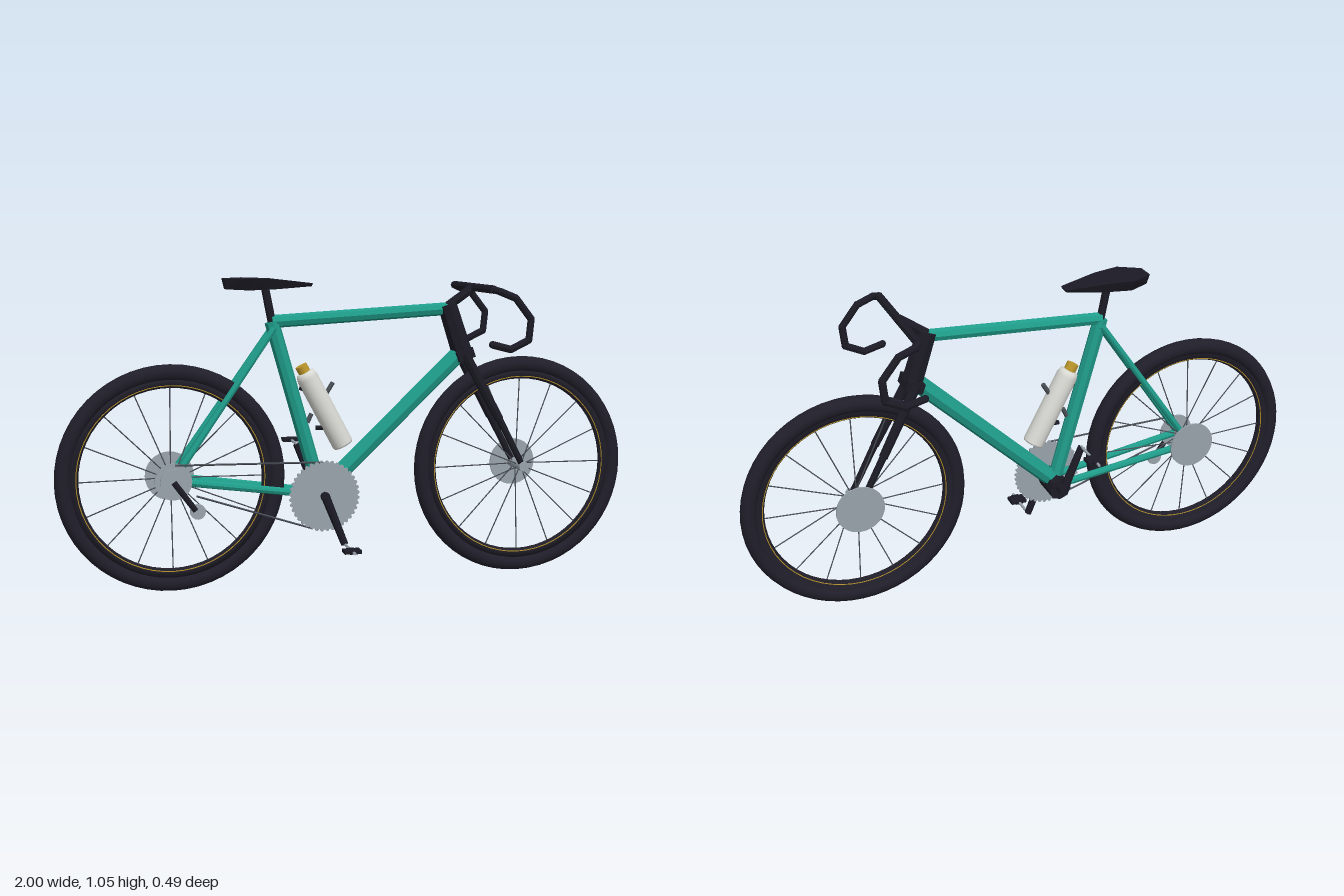
import * as THREE from 'three';
import { ConvexGeometry } from 'three/addons/geometries/ConvexGeometry.js';

const V = (x, y, z = 0) => new THREE.Vector3(x, y, z);
const UP = V(0, 1, 0);

export function createModel() {
  const mat = (name, color, flatShading = false) => {
    const m = new THREE.MeshStandardMaterial({ color, flatShading });
    m.name = name;
    return m;
  };
  const teal = mat('teal paint', 0x1f9c8a, true);
  const black = mat('black parts', 0x1c1b25, true);
  const rubber = mat('black rubber', 0x201e29);
  const steel = mat('light steel', 0x98a3ab, true);
  const dark = mat('dark steel', 0x4b5057, true);
  const white = mat('bottle white', 0xdadbd5);
  const gold = mat('gold trim', 0xc09a2c);

  const bike = new THREE.Group();
  bike.name = 'bicycle';
  const group = (name, parent = bike) => {
    const g = new THREE.Group();
    g.name = name;
    parent.add(g);
    return g;
  };
  const add = (parent, name, geometry, material, x = 0, y = 0, z = 0) => {
    const m = new THREE.Mesh(geometry, material);
    m.name = name;
    m.position.set(x, y, z);
    parent.add(m);
    return m;
  };
  // Straight tube from a to b, optionally tapered
  const rod = (parent, name, a, b, ra, material, rb = ra, sides = 8) => {
    const d = b.clone().sub(a);
    const m = add(parent, name, new THREE.CylinderGeometry(rb, ra, d.length(), sides), material);
    m.position.copy(a).add(b).multiplyScalar(0.5);
    m.quaternion.setFromUnitVectors(UP, d.normalize());
    return m;
  };
  // Chain of tubes with rounded joints
  const path = (parent, name, pts, r, material) => pts.slice(1).forEach((p, i) => {
    rod(parent, name, pts[i], p, r, material);
    add(parent, name + 'Joint', new THREE.SphereGeometry(r, 8, 6), material, p.x, p.y, p.z);
  });
  const disc = (parent, name, x, y, z, r, w, material, sides = 32) =>
    rod(parent, name, V(x, y, z - w / 2), V(x, y, z + w / 2), r, material, r, sides);

  const REAR = V(-0.615, 0.385), FRONT = V(0.615, 0.385), BB = V(-0.105, 0.315);
  const SEAT = V(-0.27, 0.905), HEAD_TOP = V(0.345, 0.955), HEAD_LOW = V(0.4, 0.79);

  // Wheels
  for (const [name, c] of [['rearWheel', REAR], ['frontWheel', FRONT]]) {
    const w = group(name);
    w.position.copy(c);
    add(w, 'tire', new THREE.TorusGeometry(0.357, 0.028, 10, 56), rubber);
    const rim = [[0.335, -0.018], [0.335, 0.018], [0.312, 0.013], [0.306, 0], [0.312, -0.013], [0.335, -0.018]];
    const rimMesh = add(w, 'rim', new THREE.LatheGeometry(rim.map(p => new THREE.Vector2(...p)), 56), rubber);
    rimMesh.material.side = THREE.DoubleSide;
    rimMesh.rotation.x = Math.PI / 2;
    for (const s of [1, -1])
      add(w, 'rimStripe', new THREE.TorusGeometry(0.315, 0.0018, 4, 56), gold, 0, 0, s * 0.0135);
    for (let i = 0; i < 16; i++) {
      const a = i * Math.PI / 8, z = i % 2 ? 0.025 : -0.025;
      rod(w, 'spoke', V(0.015 * Math.cos(a), 0.015 * Math.sin(a), z),
        V(0.31 * Math.cos(a), 0.31 * Math.sin(a)), 0.0022, dark, 0.0022, 5);
    }
    disc(w, 'hub', 0, 0, 0, 0.018, 0.125, steel, 12);
    disc(w, 'brakeRotor', 0, 0, -0.062, 0.083, 0.006, steel);
  }

  // Frame
  const frame = group('frame');
  rod(frame, 'seatTube', BB, SEAT, 0.025, teal);
  rod(frame, 'topTube', SEAT, V(0.345, 0.94), 0.022, teal);
  rod(frame, 'downTube', BB, V(0.39, 0.785), 0.03, teal);
  rod(frame, 'headTube', HEAD_LOW, HEAD_TOP, 0.037, black, 0.034);
  disc(frame, 'bottomBracket', BB.x, BB.y - 0.01, 0, 0.04, 0.11, black, 8);
  for (const s of [1, -1]) {
    rod(frame, 'seatStay', V(-0.265, 0.885, s * 0.02), V(REAR.x, REAR.y, s * 0.048), 0.011, teal);
    rod(frame, 'chainStay', V(-0.12, 0.315, s * 0.035), V(REAR.x, REAR.y, s * 0.048), 0.013, teal);
  }

  // Fork
  const fork = group('fork');
  const crown = add(fork, 'crown', new THREE.BoxGeometry(0.06, 0.035, 0.09), black, 0.403, 0.782, 0);
  crown.rotation.z = 0.35;
  for (const s of [1, -1]) {
    rod(fork, 'upperBlade', V(0.4, 0.785, s * 0.035), V(0.525, 0.555, s * 0.049), 0.018, black, 0.015);
    rod(fork, 'lowerBlade', V(0.52, 0.565, s * 0.049), V(FRONT.x, FRONT.y, s * 0.049), 0.013, black, 0.011);
  }

  // Handlebar with mirrored drops
  const bar = group('handlebar');
  rod(bar, 'stem', V(0.335, 0.94), V(0.44, 1.013), 0.016, black);
  rod(bar, 'crossBar', V(0.44, 1.013, -0.21), V(0.44, 1.013, 0.21), 0.014, black);
  const drop = [[0.44, 1.013, 0.21], [0.455, 1.007, 0.23], [0.51, 0.985, 0.23], [0.565, 0.915, 0.23],
    [0.558, 0.845, 0.23], [0.495, 0.815, 0.23], [0.43, 0.832, 0.23]];
  for (const s of [1, -1])
    path(bar, 'drop', drop.map(([x, y, z]) => V(x, y, s * z)), 0.0125, black);

  // Seat
  const seat = group('seat');
  rod(seat, 'seatPost', SEAT, V(-0.292, 1.02), 0.014, black);
  const pts = [];
  for (const s of [1, -1])
    for (const [x, yTop, yLow, w] of [[-0.433, 1.05, 1.015, 0.032], [-0.36, 1.051, 1.012, 0.074],
      [-0.27, 1.048, 1.014, 0.058], [-0.132, 1.032, 1.022, 0.022]])
      pts.push(V(x, yTop, s * w), V(x * 0.96 - 0.01, yLow, s * w * 0.75));
  add(seat, 'saddle', new ConvexGeometry(pts), black);

  // Chainring, chain and sprockets
  const drive = group('drivetrain');
  const gear = new THREE.Shape();
  for (let i = 0, n = 40; i < n; i++)
    [[0, 0.114], [0.35, 0.122], [0.65, 0.122], [0.99, 0.114]].forEach(([t, r], k) => {
      const a = (i + t) / n * Math.PI * 2;
      gear[i + k ? 'lineTo' : 'moveTo'](r * Math.cos(a), r * Math.sin(a));
    });
  add(drive, 'chainring', new THREE.ExtrudeGeometry(gear, { depth: 0.008, bevelEnabled: false }), steel, BB.x, BB.y, 0.062);
  disc(drive, 'largeSprocket', REAR.x, REAR.y, 0.06, 0.062, 0.006, steel);
  disc(drive, 'smallSprocket', REAR.x, REAR.y, 0.068, 0.045, 0.008, steel);
  rod(drive, 'upperChain', V(-0.61, 0.441, 0.067), V(-0.11, 0.432, 0.067), 0.0035, dark, 0.0035, 5);
  rod(drive, 'lowerChain', V(-0.54, 0.335, 0.067), V(-0.15, 0.206, 0.067), 0.0035, dark, 0.0035, 5);
  rod(drive, 'derailleurArm', V(-0.615, 0.385, 0.075), V(-0.545, 0.288, 0.075), 0.01, black);
  disc(drive, 'derailleurPulley', -0.537, 0.283, 0.07, 0.026, 0.012, steel, 16);

  // Cranks and pedals, half a turn apart
  for (const s of [1, -1]) {
    const c = group(s > 0 ? 'frontCrank' : 'backCrank');
    const x = BB.x + s * 0.066, y = 0.311 - s * 0.163;
    rod(c, 'crankArm', V(BB.x, 0.315, s * 0.083), V(x, y, s * 0.083), 0.0155, black, 0.0125);
    rod(c, 'crankAxle', V(BB.x, BB.y, s * 0.04), V(BB.x, BB.y, s * 0.09), 0.016, black);
    rod(c, 'pedalAxle', V(x, y, s * 0.08), V(x, y, s * 0.23), 0.005, steel);
    add(c, 'pedal', new THREE.BoxGeometry(0.026, 0.011, 0.055), black, x, y, s * 0.188);
    for (const k of [1, -1])
      add(c, 'pedalCage', new THREE.BoxGeometry(0.016, 0.011, 0.045), black, x + k * 0.021, y, s * 0.188);
  }

  // Bottle leaning in its holder
  const bottle = group('bottle');
  bottle.position.set(-0.024, 0.478, 0);
  bottle.rotation.z = 0.488;
  const profile = [[0, 0], [0.034, 0], [0.037, 0.006], [0.037, 0.265], [0.032, 0.283], [0.02, 0.288], [0, 0.288]];
  add(bottle, 'bottleBody', new THREE.LatheGeometry(profile.map(p => new THREE.Vector2(...p)), 20), white);
  add(bottle, 'bottleCap', new THREE.CylinderGeometry(0.021, 0.021, 0.026, 14), gold, 0, 0.3, 0);
  const holder = group('bottleHolder');
  rod(holder, 'lowerBracket', V(-0.12, 0.54), V(-0.055, 0.54), 0.008, black);
  rod(holder, 'upperBracket', V(-0.175, 0.68), V(-0.13, 0.66), 0.008, black);
  rod(holder, 'frontClip', V(-0.085, 0.655), V(-0.06, 0.695), 0.008, dark);
  rod(holder, 'rearClip', V(-0.15, 0.56), V(-0.135, 0.59), 0.008, dark);

  return bike;
}
